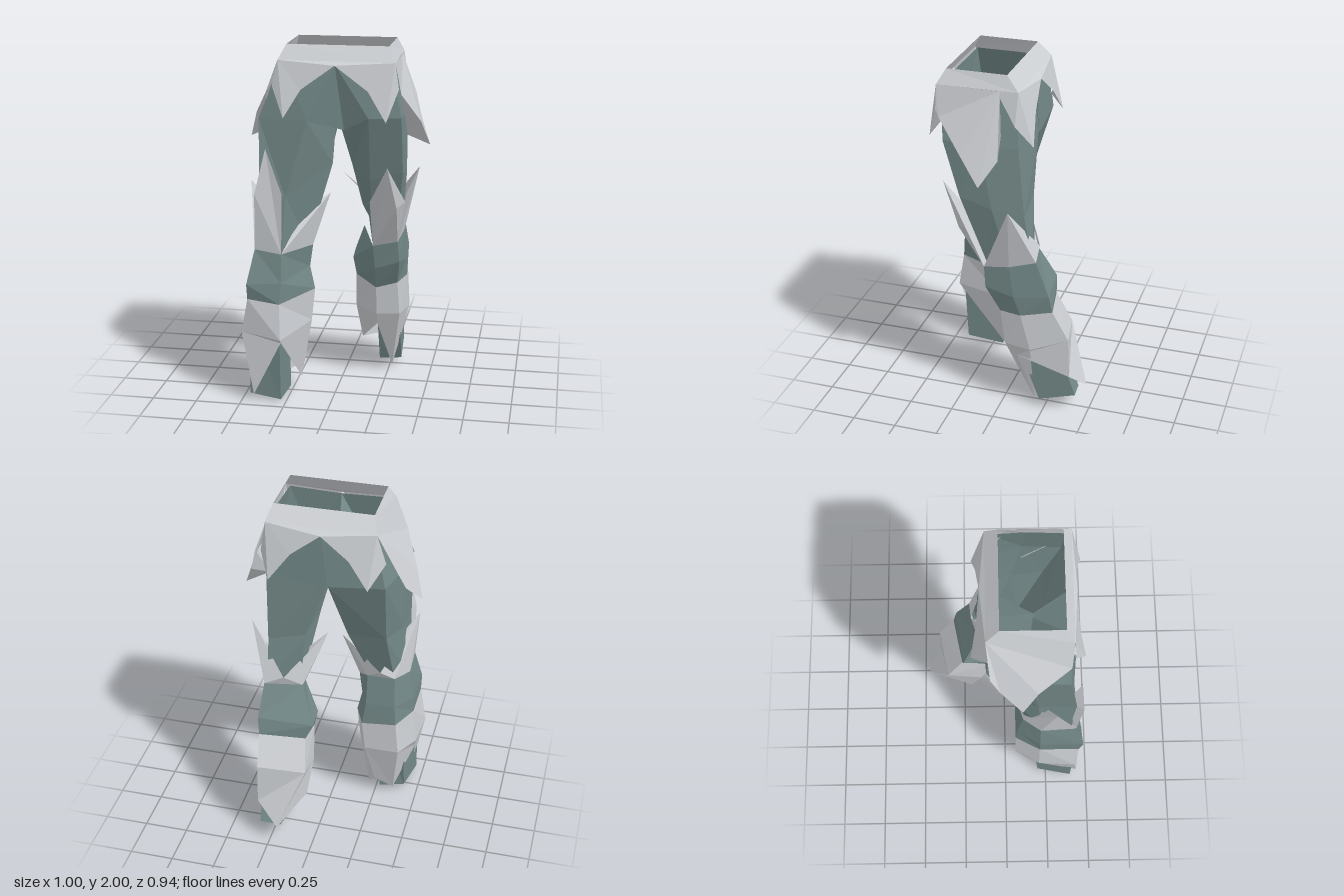
import * as THREE from 'three';

const plateGrey = new THREE.MeshStandardMaterial({ color: 0xcccfd3, side: THREE.DoubleSide, flatShading: true });
plateGrey.name = 'plate grey';
const clothTeal = new THREE.MeshStandardMaterial({ color: 0x738988, side: THREE.DoubleSide, flatShading: true });
clothTeal.name = 'cloth teal';

// Faceted mesh from a list of triangles (each triangle is three [x, y, z] points)
function facets(name, material, tris) {
  const geo = new THREE.BufferGeometry();
  geo.setAttribute('position', new THREE.Float32BufferAttribute(tris.flat(2), 3));
  geo.computeVertexNormals();
  const mesh = new THREE.Mesh(geo, material);
  mesh.name = name;
  return mesh;
}

// Fan of triangles around the first point
function fan(points) {
  const tris = [];
  for (let i = 1; i < points.length - 1; i++) tris.push([points[0], points[i], points[i + 1]]);
  return tris;
}

// Skin joining closed rings, listed from top to bottom
function loft(rings) {
  const tris = [];
  for (let r = 0; r < rings.length - 1; r++) {
    const a = rings[r], b = rings[r + 1], n = a.length;
    for (let i = 0; i < n; i++) {
      const j = (i + 1) % n;
      tris.push([a[i], b[i], b[j]], [a[i], b[j], a[j]]);
    }
  }
  return tris;
}

// Ring shrunk towards its own centre
function inset(ring, k) {
  const c = [0, 1, 2].map(a => ring.reduce((s, p) => s + p[a], 0) / ring.length);
  return ring.map(p => p.map((v, a) => c[a] + (v - c[a]) * k));
}

// Ring order: outer front, inner front, inner, inner back, outer back, outer
const rightLeg = {
  hip: [[-.27, 1.92, .33], [.02, 1.9, .35], [0, 1.6, .15], [.02, 1.89, -.1], [-.26, 1.92, -.08], [-.27, 1.92, .12]],
  thigh: [[-.4, 1.6, .34], [-.13, 1.6, .38], [-.01, 1.56, .15], [-.02, 1.58, -.12], [-.33, 1.6, -.1], [-.4, 1.62, .12]],
  lowThigh: [[-.39, 1.2, .39], [-.25, 1.18, .38], [-.03, 1.32, .14], [-.1, 1.2, .02], [-.32, 1.2, .02], [-.39, 1.2, .18]],
  kneeTop: [[-.42, .88, .4], [-.27, .86, .41], [-.14, .85, .16], [-.2, .88, .1], [-.36, .88, .1], [-.43, .88, .2]],
  kneeMid: [[-.46, .69, .45], [-.27, .7, .43], [-.16, .72, .15], [-.2, .7, .07], [-.37, .7, .07], [-.46, .7, .2]],
  kneeLow: [[-.46, .6, .43], [-.28, .58, .44], [-.13, .59, .16], [-.18, .56, .06], [-.38, .58, .06], [-.46, .6, .2]],
  shin: [[-.5, .4, .41], [-.27, .38, .47], [-.15, .4, .16], [-.2, .38, .06], [-.4, .38, .06], [-.48, .38, .2]],
  hem: [[-.43, .04, .44], [-.27, .36, .455], [-.21, .05, .16], [-.25, .1, .13], [-.36, .04, .15], [-.47, .3, .27]],
  footTop: [[-.45, .42, .41], [-.28, .42, .44], [-.27, .42, .2], [-.41, .42, .17]],
  sole: [[-.46, .03, .4], [-.28, .01, .42], [-.27, 0, .19], [-.42, .03, .2]],
  frontSpike: [[-.26, 1.2, .42], [-.35, 1.45, .41], [-.41, 1.2, .43]],
  outerTip: [-.46, 1.24, .28],
  innerTip: [-.05, 1.14, .1],
  frontRoot: [-.36, 1.2, .33],
  outerRoot: [-.37, 1.12, .22],
  innerRoot: [-.18, 1.06, .18],
  backNotch: [-.28, .93, .07],
};
const leftLeg = {
  hip: [[.31, 1.92, .33], [.02, 1.9, .35], [0, 1.6, .15], [.02, 1.89, -.1], [.31, 1.92, -.08], [.32, 1.92, .12]],
  thigh: [[.37, 1.62, .31], [.2, 1.62, .36], [.01, 1.55, .15], [.03, 1.58, -.12], [.33, 1.6, -.1], [.38, 1.62, .1]],
  lowThigh: [[.37, 1.3, .22], [.19, 1.25, .22], [.07, 1.3, .08], [.11, 1.25, -.12], [.32, 1.2, -.13], [.37, 1.25, .04]],
  kneeTop: [[.33, .87, .1], [.19, .84, .1], [.13, .89, -.05], [.12, .93, -.15], [.33, .94, -.2], [.35, .9, -.05]],
  kneeMid: [[.34, .75, .09], [.2, .7, .08], [.05, .71, -.08], [.04, .72, -.24], [.35, .75, -.28], [.36, .72, -.08]],
  kneeLow: [[.32, .6, .01], [.2, .57, .03], [.07, .61, -.08], [.08, .63, -.25], [.34, .65, -.3], [.36, .61, -.12]],
  shin: [[.33, .4, -.02], [.2, .4, 0], [.06, .4, -.14], [.06, .45, -.34], [.33, .48, -.39], [.37, .4, -.18]],
  hem: [[.27, .02, -.18], [.2, .33, -.03], [.09, .18, -.2], [.2, .12, -.47], [.33, .24, -.4], [.36, .35, -.1]],
  footTop: [[.32, .43, -.08], [.19, .43, -.07], [.16, .42, -.28], [.31, .42, -.32]],
  sole: [[.32, .05, -.22], [.19, .04, -.22], [.19, .1, -.42], [.31, .11, -.43]],
  frontSpike: [[.19, 1.13, .23], [.3, 1.35, .34], [.34, 1.1, .24]],
  outerTip: [.43, 1.27, -.07],
  innerTip: [0, 1.23, -.03],
  frontRoot: [.38, 1.13, .19],
  outerRoot: [.36, 1.12, -.05],
  innerRoot: [.13, 1.1, -.04],
  backNotch: [.22, .99, -.19],
};

function buildLeg(name, d) {
  const leg = new THREE.Group();
  leg.name = name;
  const [of, inf, inn, inb, ob, out] = d.kneeTop;
  const { outerTip, innerTip, backNotch } = d;
  leg.add(
    facets('thigh', clothTeal, loft([d.hip, d.thigh, d.lowThigh, inset(d.kneeTop, 0.85)])),
    facets('knee', clothTeal, loft([d.kneeTop, d.kneeMid, d.kneeLow])),
    facets('shinGuard', plateGrey, loft([d.kneeLow, d.shin, d.hem])),
    facets('foot', clothTeal, [...loft([d.footTop, d.sole]), ...fan(d.sole)]),
    // Pointed petals rising from the knee, each with a return to the thigh
    facets('frontKneeSpike', plateGrey, [...fan([inf, ...d.frontSpike, of]), ...fan([d.frontRoot, ...d.frontSpike.slice(1), of])]),
    facets('outerKneeSpike', plateGrey, [...fan([outerTip, of, out, ob]), ...fan([d.outerRoot, of, outerTip, ob])]),
    facets('innerKneeSpike', plateGrey, [...fan([innerTip, inf, inn, inb]), ...fan([d.innerRoot, inf, innerTip, inb])]),
    facets('backKneeCuff', plateGrey, fan([backNotch, outerTip, ob, inb, innerTip])),
  );
  return leg;
}

export function createModel() {
  const model = new THREE.Group();
  model.name = 'armouredTrousers';
  model.add(buildLeg('rightLeg', rightLeg), buildLeg('leftLeg', leftLeg));

  // Pelvis panels bridging the two legs
  const R = rightLeg.thigh, L = leftLeg.thigh;
  const front = [.02, 1.9, .36], back = [.02, 1.89, -.11];
  const crotch = [.06, 1.545, .31], under = [0, 1.555, .15];
  model.add(facets('pelvis', clothTeal, [
    ...fan([front, R[1], crotch, L[1]]),
    [R[1], under, crotch], [L[1], under, crotch],
    [back, R[3], L[3]], [R[3], under, L[3]],
  ]));

  // Open waistband
  const waistTop = [[-.25, 2, .305], [.3, 2, .305], [.3, 2, -.03], [-.25, 2, -.03]];
  const waistLow = [[-.29, 1.92, .35], [.34, 1.92, .35], [.33, 1.92, -.1], [-.28, 1.92, -.1]];
  model.add(facets('waistband', plateGrey, loft([waistTop, waistLow])));
  const [fr, fl, bl, br] = waistLow;

  // Pointed skirt plates: outline, then the inner point its lining runs to
  const frontNotch = [.02, 1.9, .37], backNotch = [.02, 1.89, -.13];
  const flaps = {
    frontRightFlap: [[fr, frontNotch, [-.16, 1.77, .385], [-.25, 1.62, .42], [-.32, 1.78, .36]], [-.27, 1.7, .35]],
    frontLeftFlap: [[fl, frontNotch, [.2, 1.77, .385], [.3, 1.61, .41], [.36, 1.78, .35]], [.3, 1.7, .34]],
    backRightFlap: [[br, backNotch, [-.14, 1.77, -.15], [-.25, 1.62, -.18], [-.33, 1.75, -.09]], [-.27, 1.7, -.1]],
    backLeftFlap: [[bl, backNotch, [.18, 1.77, -.15], [.3, 1.61, -.175], [.36, 1.74, -.09], [.333, 1.92, .02]], [.3, 1.7, -.1]],
    rightSideFlap: [[br, fr, [-.36, 1.74, .34], [-.45, 1.6, .17], [-.5, 1.45, .09], [-.43, 1.58, -.03], [-.4, 1.68, -.08]], [-.39, 1.5, .12]],
    leftSideFlap: [[[.334, 1.92, 0], fl, [.37, 1.75, .33], [.46, 1.58, .18], [.5, 1.43, .07], [.44, 1.57, -.02], [.41, 1.7, -.03]], [.37, 1.49, .1]],
  };
  for (const [name, [outline, inner]] of Object.entries(flaps)) {
    model.add(facets(name, plateGrey, [...fan(outline), ...fan([inner, ...outline.slice(2)])]));
  }
  // Plain triangles under the band between the corner plates
  model.add(facets('frontBandFlap', plateGrey, [[frontNotch, fr, fl]]));
  model.add(facets('backBandFlap', plateGrey, [[backNotch, br, bl]]));
  return model;
}
